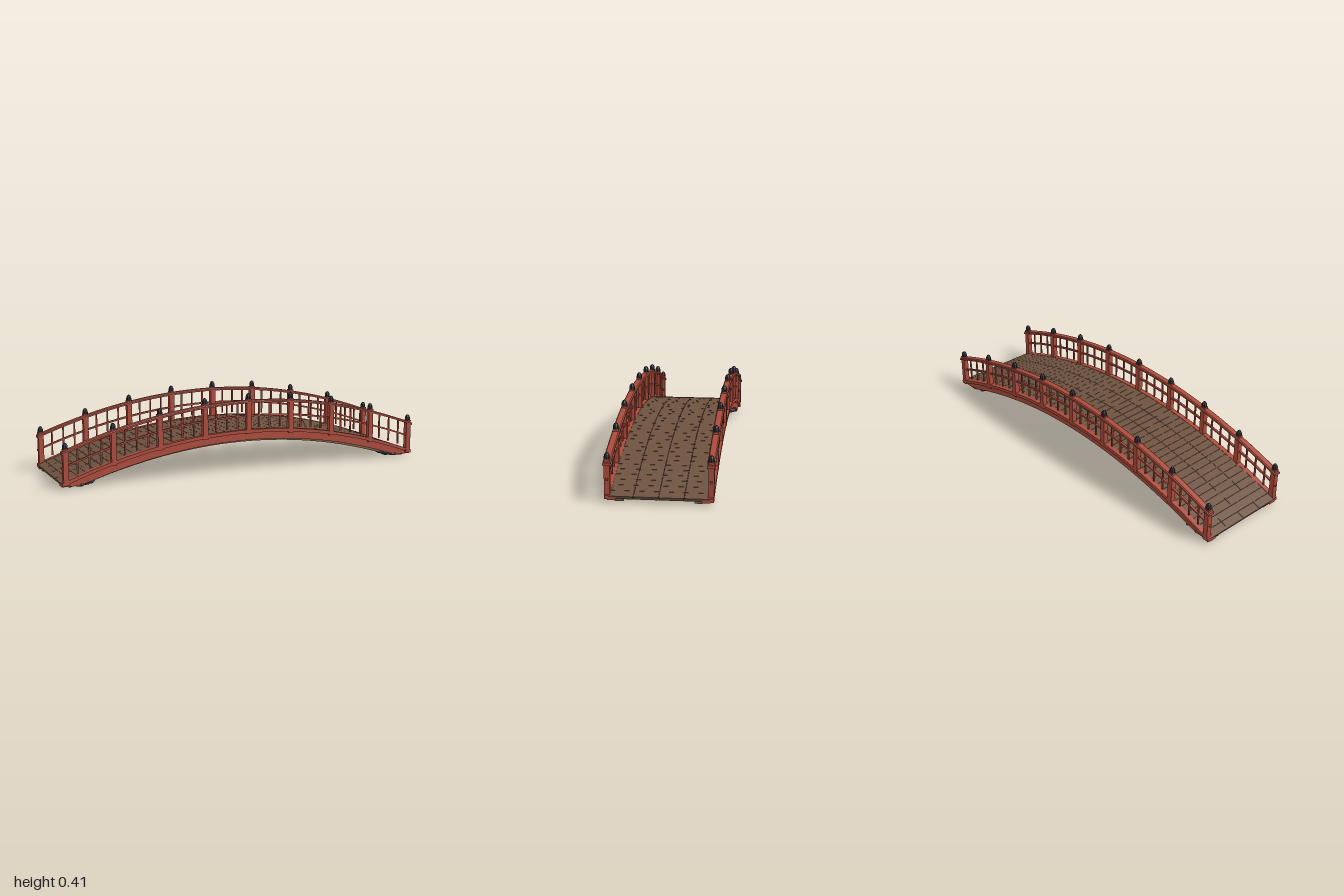
import * as THREE from 'three';
import { mergeGeometries } from 'three/addons/utils/BufferGeometryUtils.js';

const SIDE = 0.239;                       // z of the railing line
const arch = (x) => 0.222 - 0.19 * x * x; // deck top height along x

// Sweeps a counter-clockwise (z, height above deck) section along the arch
function sweep(section, half = 1, minY = 0, steps = 48) {
  const pos = [];
  const at = (i, j) => {
    const x = -half + (2 * half * i) / steps;
    const [z, h] = section[j % section.length];
    return [x, Math.max(arch(x) + h, minY), z];
  };
  for (let i = 0; i < steps; i++) {
    for (let j = 0; j < section.length; j++) {
      const a = at(i, j), b = at(i + 1, j), c = at(i, j + 1), d = at(i + 1, j + 1);
      pos.push(...a, ...b, ...d, ...a, ...d, ...c);
    }
  }
  for (let j = 1; j < section.length - 1; j++) {
    pos.push(...at(0, 0), ...at(0, j), ...at(0, j + 1));
    pos.push(...at(steps, 0), ...at(steps, j + 1), ...at(steps, j));
  }
  const g = new THREE.BufferGeometry();
  g.setAttribute('position', new THREE.Float32BufferAttribute(pos, 3));
  g.computeVertexNormals();
  return g;
}

// Rectangular section centred on z
const rect = (z, w, lo, hi) => [[z - w / 2, lo], [z + w / 2, lo], [z + w / 2, hi], [z - w / 2, hi]];

// Rectangular section with chamfered top corners
const chamfered = (z, w, lo, hi, c) => [
  [z - w / 2, lo], [z + w / 2, lo], [z + w / 2, hi - c],
  [z + w / 2 - c, hi], [z - w / 2 + c, hi], [z - w / 2, hi - c],
];

function post(x, z, w, lo, hi) {
  return new THREE.BoxGeometry(w, hi - lo, w).translate(x, (lo + hi) / 2, z);
}

export function createModel() {
  const model = new THREE.Group();
  const paint = (name, hex) => {
    const m = new THREE.MeshStandardMaterial({ color: hex });
    m.name = name;
    return m;
  };
  const red = paint('red lacquer', 0xaa4b3b);
  const wood = paint('brown planks', 0x6e5240);
  const beamWood = paint('brown beam', 0x7a5a46);
  const black = paint('dark metal', 0x2c2c33);
  const stone = paint('grey stone', 0x3d4d50);
  stone.flatShading = black.flatShading = true;

  const add = (parent, name, geometry, material) => {
    const mesh = new THREE.Mesh(geometry, material);
    mesh.name = name;
    parent.add(mesh);
  };

  // Deck: rows of planks in four columns, tilted to follow the arch
  const planks = [];
  const rows = 48, pitch = 2 / rows, column = 0.117;
  for (let i = 0; i < rows; i++) {
    const x0 = -1 + i * pitch, x1 = x0 + pitch, xm = (x0 + x1) / 2;
    const rise = arch(x1) - arch(x0);
    for (let k = 0; k < 4; k++) {
      planks.push(new THREE.BoxGeometry(Math.hypot(pitch, rise) - 0.0012, 0.015, column - 0.0015)
        .rotateZ(Math.atan2(rise, pitch))
        .translate(xm, arch(xm) - 0.0075, (k - 1.5) * column));
    }
  }
  add(model, 'deckPlanks', mergeGeometries(planks), wood);

  // Bell-shaped post cap
  const capProfile = [[0, 0], [0.0145, 0], [0.0145, 0.011], [0.0125, 0.02], [0.008, 0.028], [0, 0.032]]
    .map(([r, y]) => new THREE.Vector2(r, y));

  for (const s of [1, -1]) {
    const side = new THREE.Group();
    side.name = s > 0 ? 'frontSide' : 'backSide';
    model.add(side);
    const z = s * SIDE;

    // Curved beams under the deck edge
    add(side, 'curb', sweep(rect(z, 0.026, -0.016, 0.002), 1, 0.015), red);
    add(side, 'fasciaBeam', sweep(rect(s * 0.218, 0.038, -0.055, -0.005), 1, 0.012), red);
    add(side, 'innerBeam', sweep(rect(s * 0.182, 0.036, -0.069, -0.012), 0.99, 0.006), beamWood);

    // Rails
    add(side, 'handrail', sweep(chamfered(z, 0.037, 0.142, 0.156, 0.005)), red);
    add(side, 'middleRail', sweep(rect(z, 0.011, 0.07, 0.079)), red);

    // Posts with caps, and three balusters in each bay
    const posts = [], caps = [], balusters = [];
    const bay = 0.245;
    for (let i = -4; i <= 4; i++) {
      const x = i * bay, top = arch(x) + 0.162;
      posts.push(post(x, z, 0.027, Math.max(arch(x) - 0.02, 0.016), top));
      caps.push(new THREE.LatheGeometry(capProfile, 8).translate(x, top, z));
      if (i === 4) break;
      for (let k = 1; k <= 3; k++) {
        const xb = x + (k * bay) / 4;
        balusters.push(post(xb, z, 0.0075, arch(xb) + 0.012, arch(xb) + 0.145));
      }
    }
    add(side, 'posts', mergeGeometries(posts), red);
    add(side, 'postCaps', mergeGeometries(caps), black);
    add(side, 'balusters', mergeGeometries(balusters), red);

    // Flattened footing stones at both ends: x, y, z, half sizes
    const rocks = [
      [0.95, 0.011, 0.195, 0.028, 0.010, 0.040],
      [0.915, 0.014, 0.175, 0.032, 0.013, 0.042],
      [0.905, 0.016, 0.215, 0.028, 0.014, 0.026],
      [0.87, 0.020, 0.190, 0.032, 0.016, 0.044],
      [0.848, 0.027, 0.210, 0.024, 0.014, 0.030],
      [0.845, 0.024, 0.165, 0.022, 0.013, 0.028],
    ];
    for (const e of [1, -1]) {
      const pile = rocks.map(([x, y, rz, a, b, c], i) => new THREE.DodecahedronGeometry(1)
        .rotateX(i * 0.9).rotateY(i * 1.3 + e)
        .scale(a, b, c).translate(e * x, y, s * rz));
      add(side, e > 0 ? 'leftFootingStones' : 'rightFootingStones', mergeGeometries(pile), stone);
    }
  }
  return model;
}
